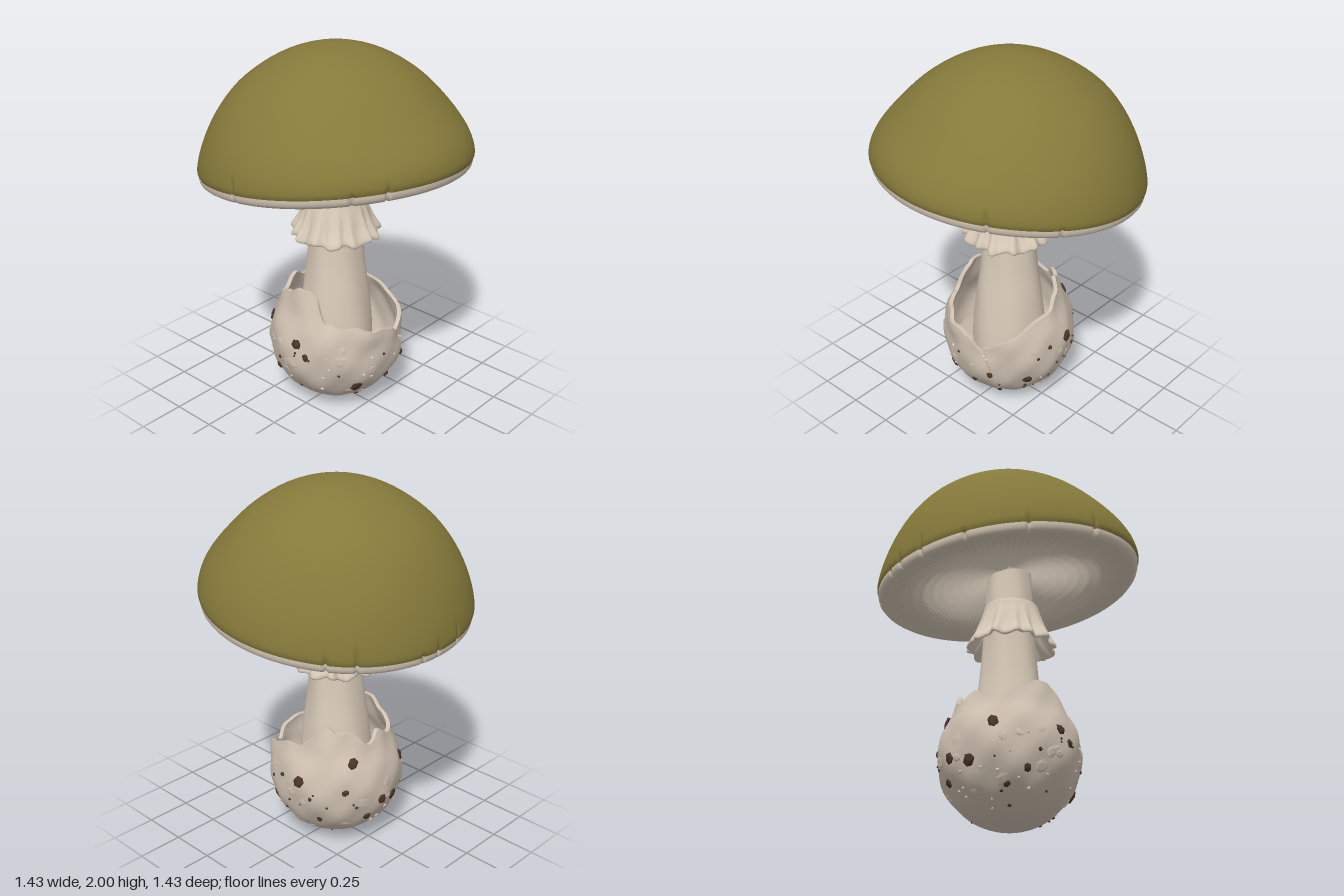
import * as THREE from 'three';
import { mergeVertices, toCreasedNormals } from 'three/addons/utils/BufferGeometryUtils.js';
import { ParametricGeometry } from 'three/addons/geometries/ParametricGeometry.js';

const { smoothstep } = THREE.MathUtils;
const TAU = Math.PI * 2, rad = THREE.MathUtils.degToRad;

const mat = (name, color, side = THREE.FrontSide) => {
  const m = new THREE.MeshStandardMaterial({ color, side });
  m.name = name;
  return m;
};

// Grid surface from f(u, v) -> [angle, radius, height]; angle 0 is the front, growing towards +x
function sweep(nu, nv, f) {
  const g = new ParametricGeometry((u, v, p) => {
    const [a, r, y] = f(u, v);
    p.set(Math.sin(a) * r, y, Math.cos(a) * r);
  }, nu, nv);
  g.deleteAttribute('normal');
  g.deleteAttribute('uv');
  const m = mergeVertices(g, 1e-5);
  m.computeVertexNormals();
  return m;
}

const spline = (pts) => {
  const c = new THREE.SplineCurve(pts.map(([x, y]) => new THREE.Vector2(x, y)));
  return (v) => c.getPoint(v);
};

// The rim plane leans back and slightly to one side; the crown stays upright
const tilt = (a, r, y) => y + (0.14 * Math.cos(a) - 0.04 * Math.sin(a)) * r * (1 - smoothstep(y, 1.37, 1.8));
const tiltUnder = (a, r, y) => y + (0.14 * Math.cos(a) - 0.04 * Math.sin(a)) * r;

// Narrow cracks around the cap rim
const cracks = [-42, -28, 33, 62, 130, 142, 170, 178, 191, 212, 238, 268].map(rad);
const crack = (a, y) => cracks.reduce((s, c, i) => {
  const d = Math.atan2(Math.sin(a - c), Math.cos(a - c));
  const height = 1.41 + 0.03 * (i % 3);
  return s + Math.exp(-((d / 0.009) ** 2)) * (1 - smoothstep(y, height - 0.05, height));
}, 0);

function capSurface(nv, pts) {
  const at = spline(pts);
  return sweep(360, nv, (u, v) => {
    const a = u * TAU, p = at(v);
    const wobble = 1 + 0.004 * Math.sin(5 * a + 1) * Math.min(p.x * 2, 1);
    const r = Math.max(p.x, 0) * wobble - 0.02 * crack(a, p.y);
    return [a, v === 1 && p.x < 0.01 ? 0 : r, tilt(a, r, p.y)];
  });
}

// Rim height of the torn cup, by angle in degrees; the wall overlaps itself at the front
const cupRim = [[5, 0.38], [20, 0.45], [45, 0.52], [70, 0.58], [92, 0.6], [108, 0.66], [122, 0.72], [138, 0.69],
  [155, 0.69], [170, 0.61], [190, 0.66], [213, 0.6], [240, 0.66], [262, 0.71], [275, 0.72], [288, 0.69], [303, 0.57],
  [330, 0.55], [348, 0.53], [365, 0.51], [378, 0.43], [390, 0.27]];
function rimHeight(deg) {
  let i = 0;
  while (i < cupRim.length - 2 && deg > cupRim[i + 1][0]) i++;
  const [a, ya] = cupRim[i], [b, yb] = cupRim[i + 1];
  return ya + (yb - ya) * smoothstep(deg, a, b) + 0.004 * Math.sin(deg * 0.27);
}
function cupRadius(deg, y) {
  const a = rad(deg);
  const ball = Math.sqrt(Math.max(0.365 ** 2 - (y - 0.365) ** 2, 0));
  const wall = y > 0.37 ? Math.max(ball, 0.365 - 0.3 * (y - 0.37)) : ball;
  const lump = 0.004 * Math.sin(7 * a + 19 * y) + 0.003 * Math.sin(11 * a - 27 * y);
  const lap = 0.012 * smoothstep(deg, 325, 375) * smoothstep(y, 0.1, 0.25);
  const flare = 0.04 * Math.max(Math.cos(a), 0) ** 2 * smoothstep(y, 0.4, 0.55);
  return wall + lump * smoothstep(y, 0, 0.15) + lap + flare;
}

export function createModel() {
  const olive = mat('olive cap', 0x85793a);
  const cream = mat('cream flesh', 0xd8cab8, THREE.DoubleSide);
  const gillTone = mat('pale gills', 0xd6c9b8, THREE.DoubleSide);
  const cupTone = mat('pale cup', 0xcfc1b1, THREE.DoubleSide);
  const brown = mat('brown warts', 0x4c3629);

  const model = new THREE.Group();
  const add = (name, geometry, material, parent = model) => {
    const m = new THREE.Mesh(geometry, material);
    m.name = name;
    parent.add(m);
    return m;
  };

  // Cap dome and its pale lip
  add('capDome', capSurface(28, [[0.708, 1.378], [0.714, 1.41], [0.695, 1.49], [0.65, 1.59], [0.58, 1.695],
    [0.485, 1.8], [0.37, 1.888], [0.25, 1.952], [0.12, 1.992], [0, 2.0]]), olive);
  add('capLip', capSurface(8, [[0.64, 1.338], [0.66, 1.33], [0.685, 1.331], [0.704, 1.35], [0.708, 1.379]]), cream);

  // Pleated gills, gently swept around the stem
  const pleats = 110;
  const gills = sweep(pleats * 2, 10, (u, v) => {
    const k = Math.round(u * pleats * 2);
    const r = 0.095 + 0.555 * v, a = u * TAU + 0.06 * Math.sin(v * Math.PI) * Math.sin(u * TAU * 3);
    const y = 1.44 - 0.105 * v ** 1.2;
    const depth = k % 2 ? 0.03 * Math.sin(Math.PI * Math.min(v * 0.8 + 0.2, 1)) : 0;
    return [a, r, tiltUnder(a, r, y - depth)];
  });
  const flatGills = gills.toNonIndexed();
  flatGills.computeVertexNormals();
  add('gills', flatGills, gillTone);

  // Stem, thicker towards the cup
  const stemAt = spline([[0.2, 0.1], [0.205, 0.35], [0.183, 0.6], [0.157, 0.8], [0.14, 1.0], [0.131, 1.2],
    [0.12, 1.4], [0.12, 1.52]]);
  add('stem', sweep(40, 24, (u, v) => {
    const p = stemAt(v), a = u * TAU;
    return [a, p.x + 0.003 * Math.sin(6 * a + 5 * p.y), p.y];
  }), cream);

  // Ruffled skirt: down the inside, round the hem and up the outside
  const skirtAt = spline([[0.12, 1.2], [0.15, 1.1], [0.185, 1.03], [0.215, 0.99], [0.226, 0.982], [0.23, 1.0],
    [0.2, 1.055], [0.176, 1.12], [0.154, 1.19], [0.145, 1.222], [0.12, 1.225]]);
  const skirt = add('skirt', toCreasedNormals(sweep(168, 30, (u, v) => {
    const p = skirtAt(v), a = u * TAU, loose = 1 - smoothstep(p.y, 0.98, 1.21);
    const fold = Math.cos(14 * a + 0.8 * Math.sin(3 * a)) + 0.4 * Math.sin(23 * a);
    return [a, p.x + 0.012 * fold * loose, p.y + 0.009 * Math.sin(9 * a + 1) * loose];
  }), 0.7), cream);
  skirt.position.set(-0.01, 0, 0.008);

  // Torn cup: outer wall up to the rim, then down the inside
  const cupFrom = 5, cupTo = 390;
  add('cup', toCreasedNormals(sweep(154, 40, (u, v) => {
    const deg = cupFrom + (cupTo - cupFrom) * u, top = rimHeight(deg);
    if (v <= 0.7) {
      const y = top * (1 - Math.cos(v / 0.7 * Math.PI / 2));
      return [rad(deg), cupRadius(deg, y), y];
    }
    const y = top - (top - Math.min(0.25, top * 0.8)) * (v - 0.725) / 0.275;
    return [rad(deg), cupRadius(deg, y) - 0.022, Math.min(y, top)];
  }), 0.6), cupTone);

  // Warts and flakes sitting on the cup
  let seed = 7;
  const rnd = () => (seed = (seed * 16807) % 2147483647) / 2147483647;
  const chip = new THREE.IcosahedronGeometry(1, 0);
  const warts = new THREE.Group();
  warts.name = 'warts';
  model.add(warts);
  function wart(name, deg, y, size, thick, material) {
    const d = deg < 30 ? deg + 360 : deg;
    const r = cupRadius(d, y), a = rad(d);
    const m = add(name, chip, material, warts);
    m.position.set(Math.sin(a) * r, y, Math.cos(a) * r);
    const out = new THREE.Vector3(m.position.x, y > 0.5 ? 0.08 : y - 0.365, m.position.z).normalize();
    m.quaternion.setFromUnitVectors(new THREE.Vector3(0, 0, 1), out);
    m.rotateZ(rnd() * TAU);
    m.scale.set(size, size * (0.65 + 0.3 * rnd()), thick);
  }
  const large = [[275, 0.44, 0.032], [285, 0.38, 0.026], [332, 0.19, 0.042], [59, 0.23, 0.034], [25, 0.29, 0.023],
    [101, 0.43, 0.038], [150, 0.54, 0.04], [165, 0.2, 0.027], [31, 0.13, 0.024], [217, 0.45, 0.038],
    [196, 0.27, 0.038], [142, 0.39, 0.024], [177, 0.3, 0.034], [7, 0.2, 0.02], [80, 0.42, 0.015],
    [245, 0.22, 0.026], [228, 0.15, 0.022], [118, 0.2, 0.022]];
  for (const [deg, y, s] of large) wart('wart', deg, y, s, 0.014, brown);
  for (let i = 0; i < 54; i++)
    wart('speck', 30 + 355 * rnd(), 0.05 + 0.36 * rnd(), 0.006 + 0.007 * rnd(), 0.009, i % 2 ? brown : cream);
  for (let i = 0; i < 24; i++)
    wart('flake', 30 + 330 * rnd(), 0.08 + 0.38 * rnd(), 0.025 + 0.02 * rnd(), 0.005, cupTone);

  return model;
}
